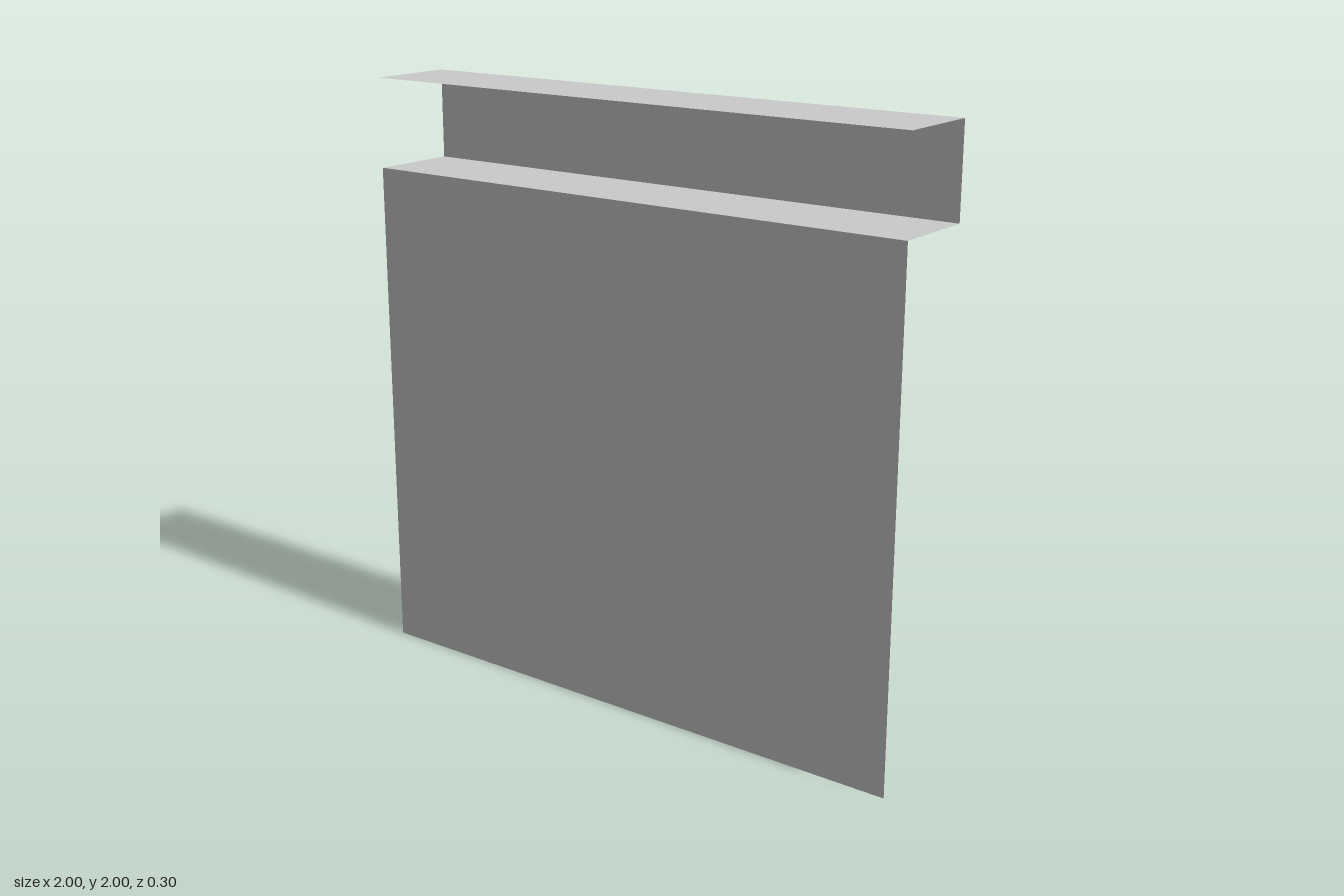
import * as THREE from 'three';
import { toCreasedNormals } from 'three/addons/utils/BufferGeometryUtils.js';

const WALL = 0.15; // z of the wall; fittings grow from it towards -z
const grey = new THREE.MeshStandardMaterial({ color: 0xcccccc });
const thin = new THREE.MeshStandardMaterial({ color: 0xcccccc, side: THREE.DoubleSide });

function part(parent, name, geometry, material = grey) {
  const mesh = new THREE.Mesh(geometry, material);
  mesh.name = name;
  parent.add(mesh);
  return mesh;
}

function group(parent, name) {
  const g = new THREE.Group();
  g.name = name;
  parent.add(g);
  return g;
}

// Box between x limits, y limits and distances d from the wall
function block(x0, x1, y0, y1, d0, d1) {
  return new THREE.BoxGeometry(x1 - x0, y1 - y0, d1 - d0)
    .translate((x0 + x1) / 2, (y0 + y1) / 2, WALL - (d0 + d1) / 2);
}

// Outline given as [distance from wall, y], extruded along x
function sideProfile(points, x0, x1) {
  const shape = new THREE.Shape(points.map(([d, y]) => new THREE.Vector2(d, y)));
  return new THREE.ExtrudeGeometry(shape, { depth: x1 - x0, bevelEnabled: false })
    .rotateY(Math.PI / 2).translate(x0, 0, WALL);
}

function rectangle(target, x0, x1, y0, y1, r = 0) {
  target.moveTo(x0 + r, y0).lineTo(x1 - r, y0);
  if (r) target.absarc(x1 - r, y0 + r, r, -Math.PI / 2, 0);
  target.lineTo(x1, y1 - r);
  if (r) target.absarc(x1 - r, y1 - r, r, 0, Math.PI / 2);
  target.lineTo(x0 + r, y1);
  if (r) target.absarc(x0 + r, y1 - r, r, Math.PI / 2, Math.PI);
  target.lineTo(x0, y0 + r);
  if (r) target.absarc(x0 + r, y0 + r, r, Math.PI, Math.PI * 1.5);
  return target;
}

// Rectangular ring with its back at z = 0 and its front at z = -depth
function ring(x0, x1, y0, y1, margin, r, depth) {
  const shape = rectangle(new THREE.Shape(), x0, x1, y0, y1, r);
  shape.holes.push(rectangle(new THREE.Path(), x0 + margin, x1 - margin, y0 + margin, y1 - margin));
  return new THREE.ExtrudeGeometry(shape, { depth, bevelEnabled: false, curveSegments: 8 })
    .translate(0, 0, -depth);
}

function buildWall(model) {
  const g = group(model, 'wall');
  part(g, 'wallPanel', new THREE.PlaneGeometry(2, 1.7).translate(0, 0.85, WALL), thin);
  part(g, 'upperPanel', new THREE.PlaneGeometry(2, 0.3).translate(0, 1.85, -WALL), thin);
  for (const [name, y] of [['ledge', 1.7], ['topPanel', 2]]) {
    part(g, name, new THREE.PlaneGeometry(2, 0.3).rotateX(-Math.PI / 2).translate(0, y, 0), thin);
  }
}

function buildDisplay(model) {
  const g = group(model, 'displayPanel');
  const frame = ring(0.1, 0.9, 0.2, 1.5, 0.05, 0.08, 0.098).translate(0, 0, WALL - 0.002);
  part(g, 'displayFrame', toCreasedNormals(frame, 0.6));
  part(g, 'displayScreen', block(0.145, 0.855, 0.245, 1.455, 0.002, 0.08));
}

function buildKeypad(model) {
  const g = group(model, 'controlBox');
  part(g, 'controlCase', block(-0.2, 0, 0.7, 1.1, 0.002, 0.1));

  // Screen surround, thicker towards its top
  const bezel = ring(-0.182, -0.018, 0.965, 1.085, 0.018, 0, 1);
  const p = bezel.attributes.position;
  for (let i = 0; i < p.count; i++) {
    const lift = 0.006 + 0.011 * (p.getY(i) - 0.965) / 0.12;
    p.setZ(i, WALL - 0.1 + p.getZ(i) * lift);
  }
  bezel.computeVertexNormals();
  part(g, 'screenSurround', bezel);

  // Four columns and five rows of keys
  const keys = group(g, 'keys');
  for (let row = 0; row < 5; row++) {
    for (let col = 0; col < 4; col++) {
      const x = -0.04 - col * 0.04, y = 0.74 + row * 0.042;
      part(keys, 'key', block(x - 0.014, x + 0.014, y - 0.013, y + 0.013, 0.099, 0.107));
    }
  }

  // Conduit up to the ledge and short pipes to the display
  part(g, 'conduit', new THREE.CylinderGeometry(0.03, 0.03, 0.6, 24).translate(-0.15, 1.4, 0.1));
  for (const y of [0.95, 1.05]) {
    part(g, 'connectorPipe',
      new THREE.CylinderGeometry(0.03, 0.03, 0.12, 24).rotateZ(Math.PI / 2).translate(0.05, y, 0.1));
  }

  // Cables sagging to the cabinet
  for (const drop of [0, 0.055]) {
    const path = new THREE.CatmullRomCurve3([[-0.19, 0.84], [-0.25, 0.80], [-0.32, 0.78], [-0.41, 0.778]]
      .map(([x, y]) => new THREE.Vector3(x, y - drop, 0.1)));
    part(g, 'cable', new THREE.TubeGeometry(path, 16, 0.017, 12));
  }
}

function buildCabinet(model) {
  const g = group(model, 'cabinet');
  const x0 = -0.9, x1 = -0.4, mid = -0.65, t = 0.015;

  // Plinth flaring downwards on the sides and rear
  const plinth = block(-0.915, -0.385, 0, 0.2, 0.002, 0.215);
  const p = plinth.attributes.position;
  for (let i = 0; i < p.count; i++) {
    if (p.getY(i) > 0.1) continue;
    p.setX(i, p.getX(i) + 0.02 * Math.sign(p.getX(i) - mid));
    if (p.getZ(i) < 0) p.setZ(i, p.getZ(i) - 0.02);
  }
  plinth.computeVertexNormals();
  part(g, 'plinth', plinth);

  // Hollow body with a sloping roof
  const side = [[0.002, 0.2], [0.2, 0.2], [0.2, 0.868], [0.002, 0.92]];
  part(g, 'sidePanel', sideProfile(side, x0, x0 + t));
  part(g, 'sidePanel', sideProfile(side, x1 - t, x1));
  part(g, 'innerPanel', block(x0 + t, x1 - t, 0.2, 0.915, 0.002, 0.015));
  part(g, 'floorPanel', block(x0 + t, x1 - t, 0.2, 0.222, 0.015, 0.2));
  part(g, 'lintel', block(x0 + t, x1 - t, 0.845, 0.868, 0.185, 0.2));
  part(g, 'roof', sideProfile([[0.002, 0.92], [0.212, 0.865], [0.212, 0.877], [0.002, 0.932]], x0 - 0.01, x1 + 0.01));

  // One closed door and one standing ajar
  const door = () => new THREE.BoxGeometry(0.23, 0.62, 0.01);
  part(g, 'closedDoor', door()).position.set(-0.768, 0.535, WALL - 0.203);
  const hinge = group(g, 'openDoor');
  hinge.position.set(-0.418, 0.535, WALL - 0.204);
  hinge.rotation.y = -THREE.MathUtils.degToRad(10);
  part(hinge, 'doorPanel', door().translate(-0.115, 0, 0));
}

export function createModel() {
  const model = new THREE.Group();
  model.name = 'wallStation';
  buildWall(model);
  buildDisplay(model);
  buildKeypad(model);
  buildCabinet(model);
  return model;
}
